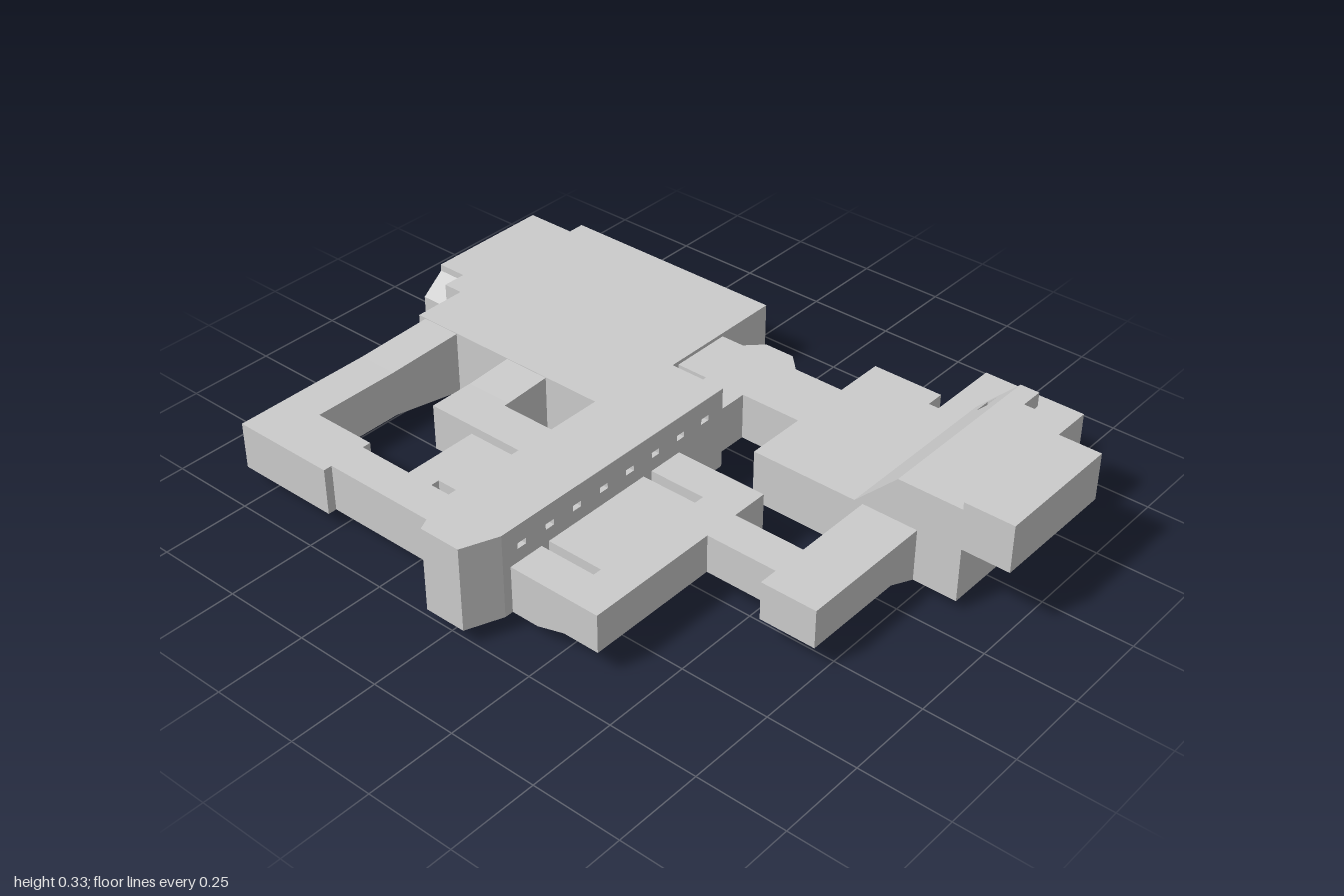
import * as THREE from 'three';

const material = new THREE.MeshStandardMaterial({ color: 0xcccccc, flatShading: true });

export function createModel() {
  const model = new THREE.Group();

  const add = (name, geometry) => {
    const mesh = new THREE.Mesh(geometry, material);
    mesh.name = name;
    model.add(mesh);
  };
  const outline = (pts, holes = []) => {
    const shape = new THREE.Shape(pts.map(p => new THREE.Vector2(...p)));
    for (const h of holes) shape.holes.push(new THREE.Path(h.map(p => new THREE.Vector2(...p))));
    return shape;
  };
  const extrude = (shape, depth) => new THREE.ExtrudeGeometry(shape, { depth, bevelEnabled: false });

  // Corners of a small rectangle round a centre
  const rect = (x, y, w, h = w) => [
    [x - w / 2, y - h / 2], [x + w / 2, y - h / 2], [x + w / 2, y + h / 2], [x - w / 2, y + h / 2]];
  const flip = pts => pts.map(([x, z]) => [x, -z]);

  // Floor plan [x, z] raised from y0 to y1
  const plan = (name, pts, y0, y1, holes = []) =>
    add(name, extrude(outline(flip(pts), holes.map(flip)), y1 - y0).rotateX(-Math.PI / 2).translate(0, y0, 0));
  // Side profile [z, y] running from x0 to x1
  const side = (name, pts, x0, x1, holes = []) =>
    add(name, extrude(outline(flip(pts).map(([, ], i) => [-pts[i][0], pts[i][1]]),
      holes.map(h => h.map(([z, y]) => [-z, y]))), x1 - x0).rotateY(Math.PI / 2).translate(x0, 0, 0));
  // Front profile [x, y] running from z0 to z1
  const front = (name, pts, z0, z1, holes = []) =>
    add(name, extrude(outline(pts, holes), z1 - z0).translate(0, 0, z0));
  const box = (name, x0, x1, y0, y1, z0, z1) =>
    add(name, new THREE.BoxGeometry(x1 - x0, y1 - y0, z1 - z0)
      .translate((x0 + x1) / 2, (y0 + y1) / 2, (z0 + z1) / 2));

  // Rear block: core with pierced skins on top, bottom and left side
  const rear = rect(0.303, -0.505, 0.646, 0.69);
  box('rearBlock', -0.02, 0.626, 0.015, 0.18, -0.85, -0.16);
  const topHoles = [-0.82, -0.75].map(z => rect(0.2, z, 0.016));
  for (let i = 0; i < 4; i++) topHoles.push(rect(0.35 + i * 0.068, -0.59, 0.016));
  plan('rearBlockTop', rear, 0.18, 0.19, topHoles);
  const bellyHoles = [];
  for (let i = 0; i < 4; i++) bellyHoles.push(rect(0.57, -0.28 - i * 0.09, 0.04, 0.03));
  for (const [x, z] of [[0.32, -0.72], [0.24, -0.76], [0.16, -0.73], [0.1, -0.3], [0.18, -0.24], [0.3, -0.42]])
    bellyHoles.push(rect(x, z, 0.04, 0.03));
  plan('rearBlockBelly', rear, 0, 0.015, bellyHoles);
  side('rearBlockSide', [[-0.85, 0], [-0.16, 0], [-0.16, 0.19], [-0.85, 0.19]], 0.626, 0.64,
    [rect(-0.75, 0.145, 0.015), rect(-0.805, 0.145, 0.015)]);

  // Tail with sloped underside, side slot and a cut corner
  side('tailLower', [[-0.85, 0], [-0.85, 0.115], [-1, 0.115], [-1, 0.03], [-0.94, 0.03]], 0.14, 0.59);
  box('tailUpper', 0.21, 0.59, 0.13, 0.19, -1, -0.85);
  box('tailSlotEnd', 0.21, 0.32, 0.115, 0.13, -1, -0.85);
  box('tailCornerBase', 0.14, 0.21, 0.115, 0.19, -0.91, -0.85);
  front('tailCornerRamp', [[0.14, 0.115], [0.21, 0.115], [0.21, 0.17]], -1, -0.91);
  for (let i = 0; i < 4; i++)
    for (const [z, y] of [[-0.875, 0.008], [-0.915, 0.022]])
      box('tailStud', 0.24 + i * 0.08, 0.275 + i * 0.08, y - 0.008, y + 0.02, z - 0.012, z + 0.012);

  // Arms reaching from the rear block, flaring where they join it
  const arm = (name, x0, xBend, z0, z1) => front(name, [
    [x0, 0.045], [xBend, 0.045], [-0.02, 0.002], [-0.02, 0.188], [xBend, 0.18], [x0, 0.18]], z0, z1);
  arm('rearArm', -0.515, -0.255, -0.825, -0.705);
  arm('innerArm', -0.175, -0.16, -0.515, -0.375);

  // Left frame and deck behind the long hull
  box('cornerBlock', -0.67, -0.515, 0.045, 0.18, -0.825, -0.515);
  plan('rearDeck', [
    [-0.645, -0.515], [-0.54, -0.515], [-0.54, -0.35], [-0.32, -0.35], [-0.32, -0.21], [-0.295, -0.21],
    [-0.295, -0.515], [-0.175, -0.515], [-0.175, -0.09], [-0.515, -0.09], [-0.515, -0.27], [-0.54, -0.27],
    [-0.54, -0.09], [-0.645, -0.09]], 0.045, 0.18);

  // Long raised hull with a row of windows in both faces
  plan('longHull', [[-0.77, -0.06], [-0.67, -0.09], [0.13, -0.09], [0.13, 0.085], [-0.67, 0.085], [-0.77, 0.06]],
    0.045, 0.285);
  const windows = [];
  for (let i = 0; i < 8; i++) windows.push(rect(-0.605 + i * 0.095, 0.226, 0.028, 0.016));
  for (const [z0, z1, za, zb] of [[-0.105, -0.09, -0.105, -0.09], [0.085, 0.1, 0.1, 0.085]]) {
    front('windowSkin', [[-0.67, 0.045], [0.13, 0.045], [0.13, 0.285], [-0.67, 0.285]], z0, z1, windows);
    const tip = Math.sign(za) * 0.06;
    plan('bowCheek', [[-0.77, tip], [-0.67, zb], [-0.67, za]], 0.045, 0.285);
  }

  // Front deck: two outer legs with rising undersides around a middle pad
  for (const x of [-0.645, -0.145])
    side('deckLeg', [[0.09, 0.045], [0.18, 0.045], [0.265, 0.07], [0.37, 0.07], [0.37, 0.18], [0.09, 0.18]], x, x + 0.105);
  box('deckPad', -0.515, -0.175, 0.058, 0.18, 0.09, 0.36);
  box('deckFrontBeam', -0.54, -0.145, 0.07, 0.18, 0.265, 0.37);
  box('deckLink', -0.255, -0.15, 0.07, 0.18, 0.37, 0.58);
  front('frontArm', [[-0.31, 0.07], [-0.01, 0.07], [0.085, 0.03], [0.085, 0.18], [-0.31, 0.18]], 0.575, 0.735);

  // Neck between the rear block, long hull and cabin
  box('hullLink', 0.13, 0.265, 0.045, 0.18, -0.065, 0.06);
  side('neck', [[-0.17, 0.045], [0.17, 0.045], [0.24, 0.03], [0.24, 0.18], [-0.17, 0.18]], 0.265, 0.45);
  plan('neckBump', [[0.45, -0.09], [0.495, -0.045], [0.495, 0.045], [0.45, 0.09]], 0.045, 0.18);

  // Cabin base with edge notches and pierced belly
  const cabinPlan = [
    [0.085, 0.24], [0.6, 0.24], [0.6, 0.45], [0.545, 0.45], [0.545, 0.48], [0.6, 0.48], [0.6, 0.725],
    [0.545, 0.725], [0.545, 0.755], [0.6, 0.755], [0.6, 0.8], [0.085, 0.8]];
  plan('cabinBase', cabinPlan, 0.045, 0.18);
  plan('cabinBelly', cabinPlan, 0.03, 0.045, [
    [0.2, 0.33], [0.45, 0.32], [0.5, 0.4], [0.48, 0.6], [0.42, 0.66], [0.2, 0.68], [0.32, 0.74]]
    .map(([x, z]) => rect(x, z, 0.04, 0.03)));
  front('cabinFace', [
    [0.085, 0.03], [0.33, 0.03], [0.33, 0.085], [0.385, 0.085], [0.385, 0.03], [0.48, 0.03],
    [0.48, 0.085], [0.54, 0.085], [0.54, 0.03], [0.6, 0.03], [0.6, 0.18], [0.085, 0.18]], 0.8, 0.86);
  box('cabinWing', 0.6, 0.765, 0.03, 0.18, 0.48, 0.725);

  // Raised cabin with sloped rear, a slot in the slope and holes in the roof
  const slope = [[0.55, 0.18], [0.67, 0.3], [0.67, 0.18]];
  side('cabinSlope', slope, 0.085, 0.55);
  side('cabinSlopeEdge', [[0.55, 0.18], [0.59, 0.22], [0.59, 0.18]], 0.55, 0.6);
  side('cabinSlopeEdge', [[0.617, 0.18], [0.617, 0.247], [0.67, 0.3], [0.67, 0.18]], 0.55, 0.6);
  side('cabinSlopeRim', slope, 0.6, 0.615);
  const roof = [
    [0.085, 0.67], [0.615, 0.67], [0.615, 0.725], [0.545, 0.725], [0.545, 0.755], [0.605, 0.755],
    [0.605, 0.86], [0.085, 0.86]];
  plan('cabinUpper', roof, 0.18, 0.29);
  const roofHoles = [];
  for (let i = 0; i < 7; i++) roofHoles.push(rect(0.11 + i * 0.054, 0.78, 0.014, 0.012));
  plan('cabinRoof', roof, 0.29, 0.3, roofHoles);

  // Overhanging nose box
  box('nose', 0.075, 0.45, 0.195, 0.33, 0.86, 1);

  return model;
}
